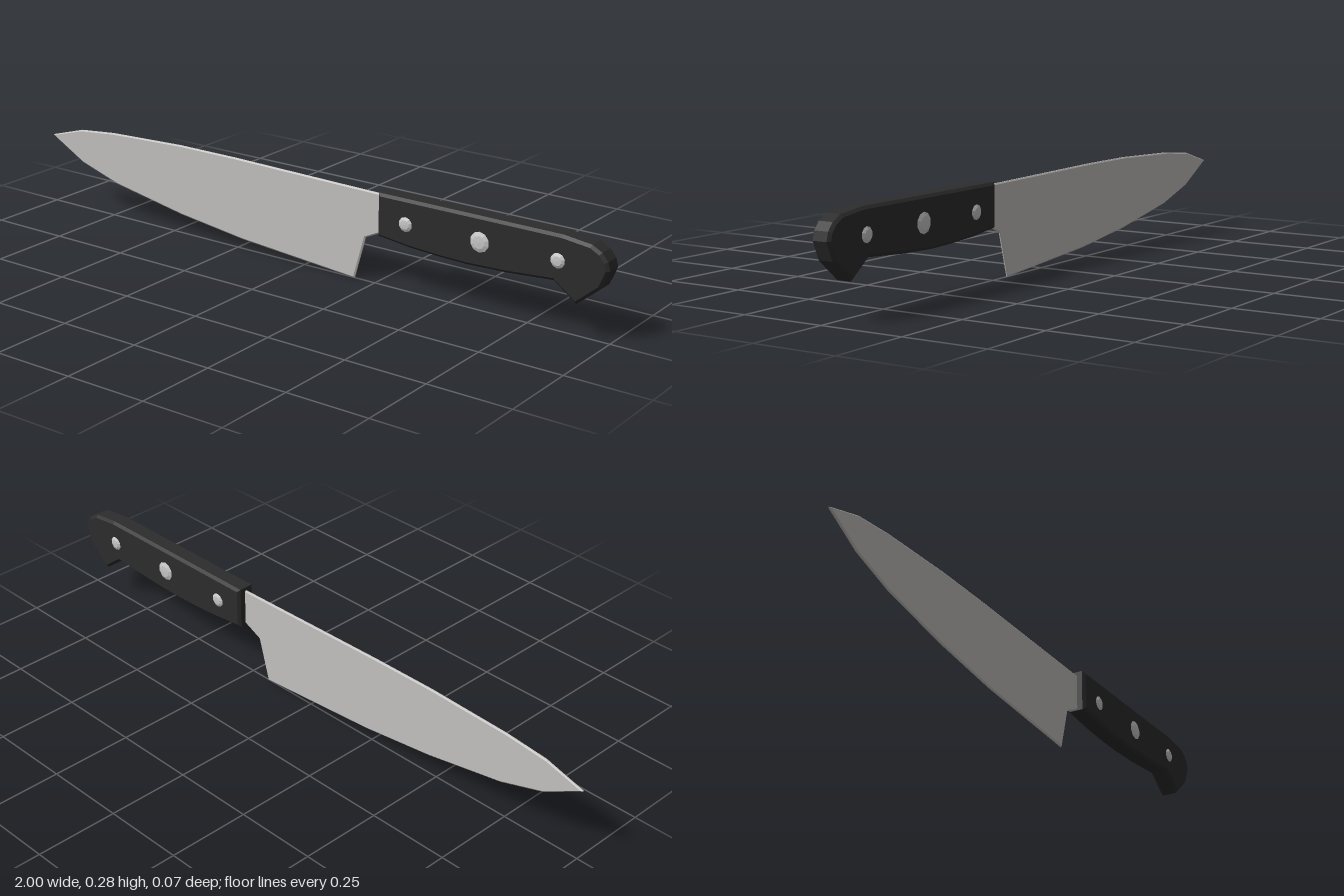
import * as THREE from 'three';

const steel = new THREE.MeshStandardMaterial({ color: 0xc4c2c0 });
steel.name = 'blade steel';
const black = new THREE.MeshStandardMaterial({ color: 0x2c2c2c });
black.name = 'black handle';
const rivetSteel = new THREE.MeshStandardMaterial({ color: 0xc8c8c8, flatShading: true });
rivetSteel.name = 'rivet steel';

// Chamfered slab with the given outline, centred on z = 0
function slab(name, outline, thickness, bevelZ, bevelXY, material) {
  const shape = new THREE.Shape(outline.map(([x, y]) => new THREE.Vector2(x, y)));
  const depth = thickness - 2 * bevelZ;
  const geometry = new THREE.ExtrudeGeometry(shape, {
    depth, bevelEnabled: true, bevelSegments: 1,
    bevelThickness: bevelZ, bevelSize: bevelXY, bevelOffset: -bevelXY,
  });
  geometry.translate(0, 0, -depth / 2);
  const mesh = new THREE.Mesh(geometry, material);
  mesh.name = name;
  return mesh;
}

export function createModel() {
  const knife = new THREE.Group();
  knife.name = 'kitchenKnife';

  // Blade: edge from heel to tip, then back along the spine, with a hidden tang
  knife.add(slab('blade', [
    [0.32, 0.165], [0.275, 0.158], [0.217, 0.131], [0.18, 0],
    [-0.23, 0.03], [-0.47, 0.06], [-0.73, 0.107], [-0.875, 0.152], [-1, 0.222],
    [-0.875, 0.258], [-0.74, 0.271], [-0.47, 0.281], [-0.26, 0.281], [0.32, 0.272],
  ], 0.009, 0.003, 0.004, steel));

  // Handle with a hooked butt
  knife.add(slab('handle', [
    [0.275, 0.155], [0.38, 0.143], [0.48, 0.137], [0.57, 0.135], [0.69, 0.139],
    [0.837, 0.15], [0.907, 0.098], [0.978, 0.158], [1, 0.21], [0.993, 0.235],
    [0.975, 0.257], [0.945, 0.273], [0.86, 0.283], [0.275, 0.283],
  ], 0.06, 0.008, 0.008, black));

  // Domed rivets on both faces
  for (const [x, r] of [[0.37, 0.022], [0.61, 0.03], [0.85, 0.022]]) {
    const profile = [[r, 0.026], [r, 0.03], [r * 0.62, 0.0345], [0, 0.0355]]
      .map(([px, py]) => new THREE.Vector2(px, py));
    const geometry = new THREE.LatheGeometry(profile, 10);
    for (const side of [1, -1]) {
      const rivet = new THREE.Mesh(geometry, rivetSteel);
      rivet.name = side > 0 ? 'frontRivet' : 'backRivet';
      rivet.position.set(x, 0.21, 0);
      rivet.rotation.x = side * Math.PI / 2;
      knife.add(rivet);
    }
  }
  return knife;
}
